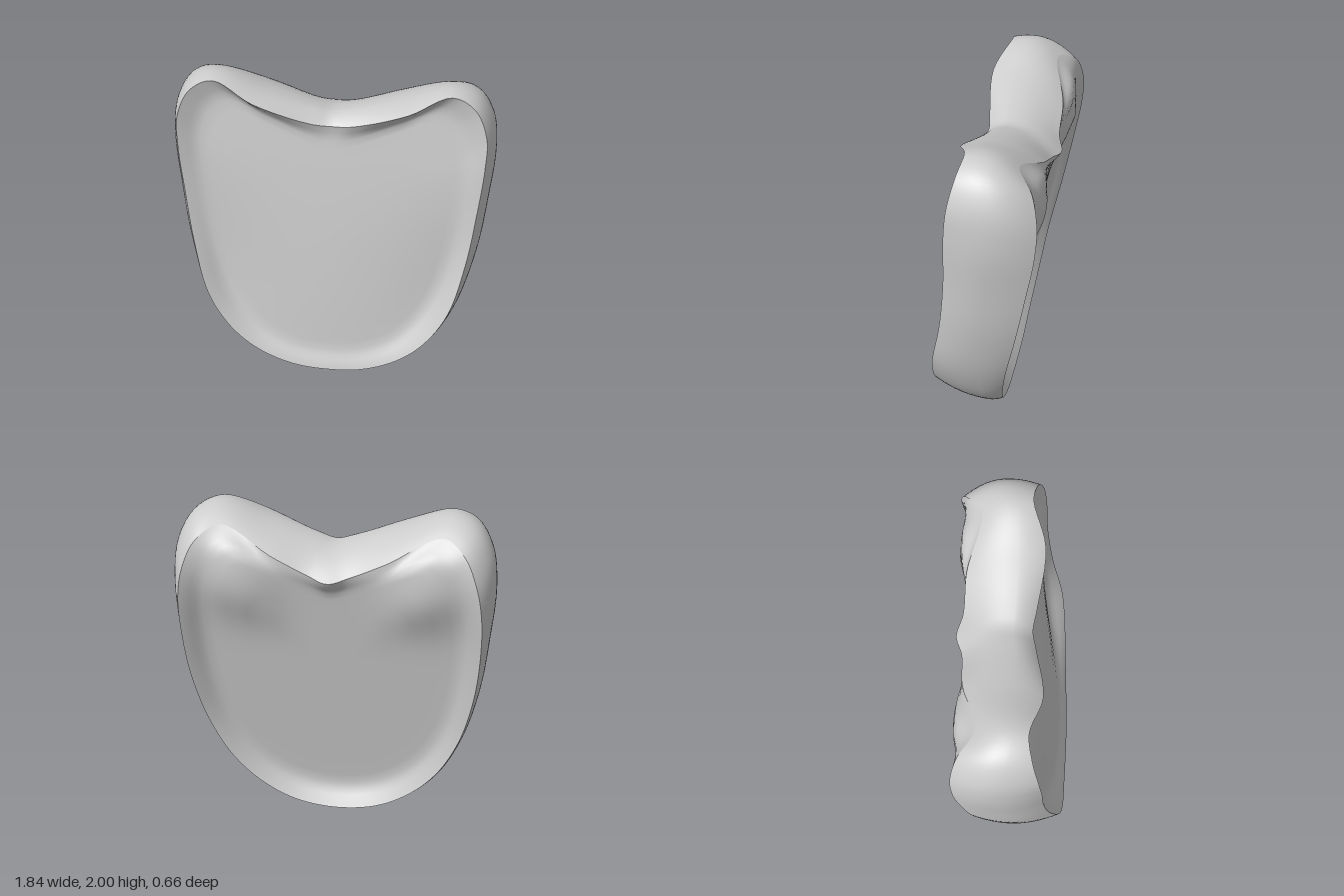
import * as THREE from 'three';
import { mergeVertices } from 'three/addons/utils/BufferGeometryUtils.js';

// Half outlines from bottom centre round the +x side to the top notch: [x, y, z]
const WIDEST = [
  [0, 0.0, -0.03], [0.25, 0.04, -0.02], [0.45, 0.14, -0.02], [0.63, 0.31, -0.01], [0.77, 0.58, 0],
  [0.86, 0.93, -0.02], [0.9, 1.28, -0.05], [0.92, 1.6, -0.08], [0.89, 1.81, -0.07], [0.8, 1.95, -0.04],
  [0.65, 2.0, -0.01], [0.37, 1.91, 0], [0.1, 1.823, -0.01], [0, 1.8, -0.02]];
const FRONT_LIP = [
  [0, 0.13, 0.33], [0.22, 0.15, 0.325], [0.43, 0.24, 0.315], [0.59, 0.39, 0.305], [0.72, 0.62, 0.28],
  [0.8, 0.95, 0.21], [0.84, 1.28, 0.17], [0.865, 1.6, 0.155], [0.86, 1.78, 0.135], [0.79, 1.93, 0.1],
  [0.66, 1.99, 0.08], [0.43, 1.9, 0.15], [0.12, 1.775, 0.11], [0, 1.755, 0.09]];
const BACK_LIP = [
  [0, 0.01, -0.07], [0.25, 0.05, -0.075], [0.45, 0.16, -0.085], [0.62, 0.34, -0.11], [0.75, 0.6, -0.15],
  [0.83, 0.93, -0.22], [0.86, 1.25, -0.28], [0.855, 1.52, -0.325], [0.82, 1.7, -0.33], [0.75, 1.85, -0.29],
  [0.62, 1.92, -0.2], [0.33, 1.785, -0.28], [0.12, 1.69, -0.295], [0, 1.66, -0.33]];

const SIDES = 156;
const { lerp, smoothstep } = THREE.MathUtils;

// Mirror a half outline and sample it as a closed smooth loop
function loop(half) {
  const mirrored = half.slice(1, -1).reverse().map(([x, y, z]) => [-x, y, z]);
  const curve = new THREE.CatmullRomCurve3(
    [...half, ...mirrored].map(p => new THREE.Vector3(...p)), true);
  return Array.from({ length: SIDES }, (_, i) => curve.getPoint(i / SIDES));
}

// Skin consecutive closed rings
function skin(name, rings) {
  const pos = rings.flat().flatMap(p => [p.x, p.y, p.z]);
  const index = [];
  for (let r = 0; r < rings.length - 1; r++) {
    for (let j = 0; j < SIDES; j++) {
      const k = (j + 1) % SIDES;
      const a = r * SIDES + j, b = r * SIDES + k, c = a + SIDES, d = b + SIDES;
      index.push(a, c, b, b, c, d);
    }
  }
  let geo = new THREE.BufferGeometry();
  geo.setAttribute('position', new THREE.Float32BufferAttribute(pos, 3));
  geo.setIndex(index);
  geo = mergeVertices(geo, 1e-5);
  geo.computeVertexNormals();
  const mesh = new THREE.Mesh(geo, new THREE.MeshStandardMaterial({ color: 0xcccccc, side: THREE.DoubleSide }));
  mesh.name = name;
  return mesh;
}

// Dished panel: rings shrinking from the lip to the middle, settling onto depth(x, y)
function panelRings(lip, depth) {
  return [1, 0.985, 0.96, 0.93, 0.9, 0.86, 0.8, 0.7, 0.58, 0.45, 0.3, 0.15, 0].map(k =>
    lip.map(p => {
      const x = p.x * k, y = lerp(1.0, p.y, k);
      return new THREE.Vector3(x, y, lerp(p.z, depth(x, y), smoothstep(1 - k, -0.02, 0.16) * (k < 1 ? 1 : 0)));
    }));
}

const bump = (x, y, cx, cy, r) => Math.exp(-((Math.abs(x) - cx) ** 2 + (y - cy) ** 2) / (r * r));

// Leaning front panel, gently domed across and along
const frontDepth = (x, y) => 0.295 - 0.07 * y - 0.035 * y * y - 0.15 * x * x * (1 - smoothstep(y, 0.5, 1.6));
// Leaning back panel with soft shoulders near its upper corners
const backDepth = (x, y) => lerp(0.02, -0.26, (y - 0.1) / 1.5) - 0.07 * bump(x, y, 0.52, 1.57, 0.2);

export function createModel() {
  const group = new THREE.Group();
  group.name = 'dishedShield';
  const widest = loop(WIDEST), front = loop(FRONT_LIP), back = loop(BACK_LIP);

  // Rounded outer band: bulges from the front lip over the widest line to the back lip
  const bandRings = [];
  for (let i = -8; i <= 8; i++) {
    const s = Math.abs(i) / 8, lip = i < 0 ? front : back;
    bandRings.push(widest.map((o, j) => new THREE.Vector3(
      lerp(o.x, lip[j].x, s * s), lerp(o.y, lip[j].y, s * s), lerp(o.z, lip[j].z, s))));
  }
  group.add(skin('outerBand', bandRings));

  // Recessed panels on both faces
  group.add(skin('frontPanel', panelRings(front, frontDepth).reverse()));
  group.add(skin('backPanel', panelRings(back, backDepth)));
  return group;
}
